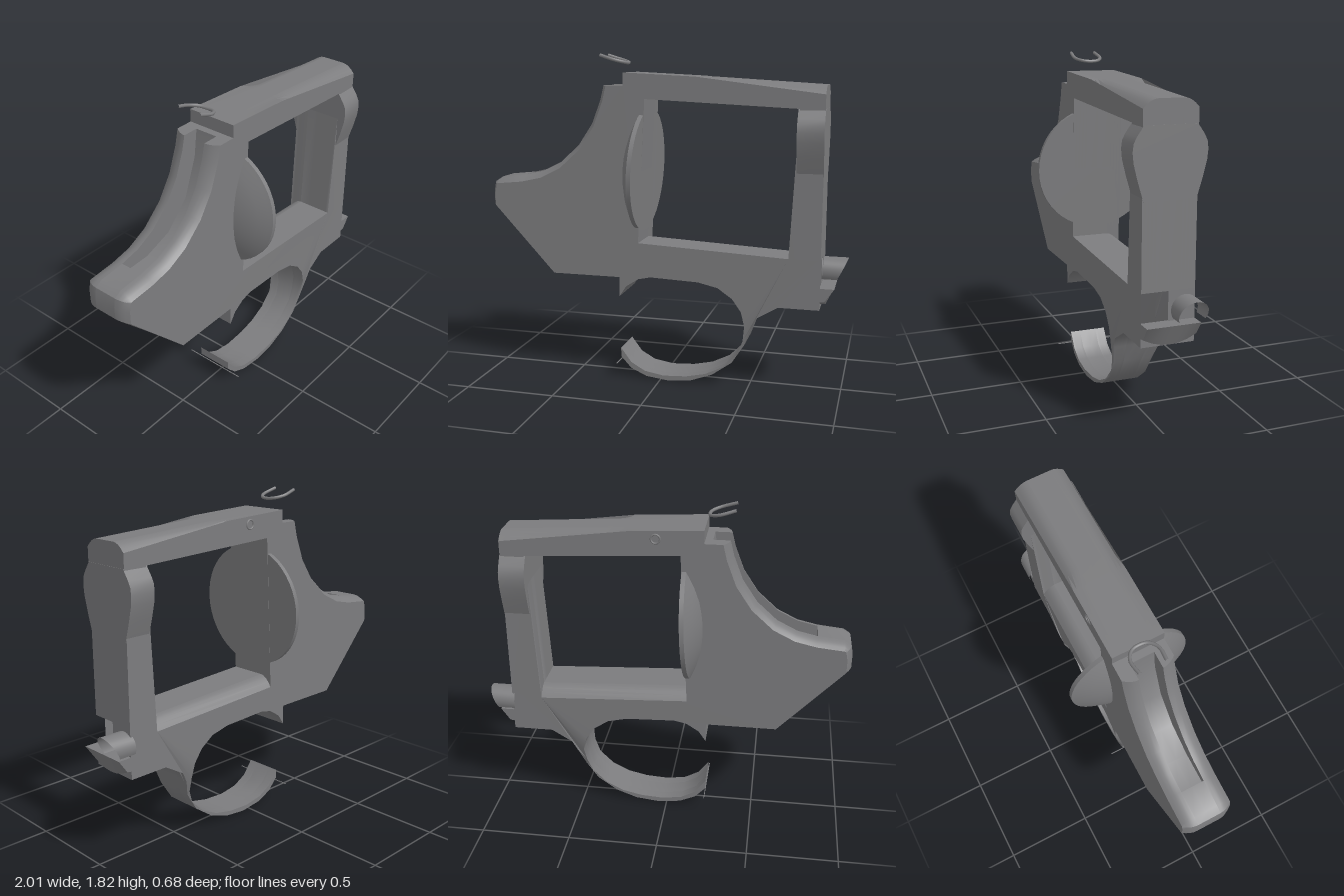
import * as THREE from 'three';
import { toCreasedNormals } from 'three/addons/utils/BufferGeometryUtils.js';

const vecs = (pts) => pts.map(([x, y]) => new THREE.Vector2(x, y));

// Curved rear edge, from the top notch down to the butt
const BACK = [[-0.33, 1.65], [-0.35, 1.57], [-0.40, 1.44], [-0.48, 1.32], [-0.59, 1.22], [-0.70, 1.165],
  [-0.81, 1.14], [-0.95, 1.125], [-0.99, 1.10], [-1, 1.05], [-1, 0.98]];
// The same edge with the hammer slot cut into it
const BACK_SLOT = [[-0.24, 1.65], [-0.26, 1.5], [-0.34, 1.29], [-0.48, 1.15], [-0.64, 1.09], [-0.81, 1.08],
  [-0.81, 1.14], [-0.95, 1.125], [-0.99, 1.10], [-1, 1.05], [-1, 0.98]];
// Finger opening of the guard, from the grip side round to the open tip
const GUARD_INNER = [[-0.23, 0.48], [-0.19, 0.54], [-0.12, 0.585], [-0.05, 0.60], [0.22, 0.59], [0.33, 0.565],
  [0.41, 0.51], [0.46, 0.44], [0.48, 0.36], [0.47, 0.27], [0.44, 0.19], [0.36, 0.11], [0.26, 0.06],
  [0.15, 0.035], [0.02, 0.027], [-0.09, 0.045], [-0.17, 0.09], [-0.23, 0.17]];
const GUARD_OUTER = [[-0.23, 0.12], [-0.17, 0.055], [-0.08, 0.015], [0.05, 0], [0.18, 0.015], [0.30, 0.06],
  [0.41, 0.14], [0.48, 0.25], [0.515, 0.35], [0.545, 0.41], [0.66, 0.48]];
const FRONT = [[0.88, 0.48], [0.88, 0.6], [0.88, 0.75], [0.88, 1.66], [0.30, 1.695], [0.20, 1.70], [-0.20, 1.72], [-0.20, 1.65]];
const WINDOW = [[-0.08, 1.58], [0.75, 1.54], [0.71, 0.75], [-0.12, 0.79]];

// One slice of the frame between z0 and z1, with rounded edges and a narrower guard
function frameSlice(back, z0, z1, steps) {
  const shape = new THREE.Shape(vecs([...back, [-0.62, 0.59], [-0.23, 0.59], ...GUARD_INNER, ...GUARD_OUTER, ...FRONT]));
  shape.holes.push(new THREE.Path(vecs(WINDOW)));
  const geo = new THREE.ExtrudeGeometry(shape, { depth: z1 - z0, steps, bevelEnabled: false });
  geo.translate(0, 0, z0);
  const p = geo.attributes.position;

  // Leave the socket in the front wall open
  const keep = [];
  for (let i = 0; i < p.count; i += 3) {
    const open = [i, i + 1, i + 2].every((k) =>
      p.getX(k) > 0.879 && p.getY(k) > 0.59 && p.getY(k) < 0.76 && p.getZ(k) > -0.001);
    if (open) continue;
    for (let k = i; k < i + 3; k++) keep.push(moved(p.getX(k), p.getY(k), p.getZ(k)));
  }
  const out = new THREE.BufferGeometry().setFromPoints(keep);
  return toCreasedNormals(out, 0.6);
}

function moved(x, y, z) {
  const t = Math.max(0, (Math.abs(z) - 0.065) / 0.075) ** 2;
  let nx = x, ny = y;
  if (x < -0.31 && y > 0.95 && t > 0) {            // rounded rear edge
    const d = x < -0.96 ? new THREE.Vector2(1, -0.4) : new THREE.Vector2(x + 0.85, y - 1.65);
    d.setLength(0.032 * t);
    nx += d.x;
    ny += d.y;
  }
  if (x > 0.25 && y > 1.6) ny -= 0.045 * t;         // crowned top strap
  if (z < 0 && x > -0.13 && x < 0.72 && y > 0.74 && y < 0.8) ny -= 0.06 * t; // rounded lower bar
  const w = THREE.MathUtils.smoothstep(y, 0.2, 0.4); // slim guard
  const nz = z * THREE.MathUtils.lerp(0.75, 1, w) + 0.015 * (1 - w);
  return new THREE.Vector3(nx, ny, nz);
}

// Extrudes a (z, y) profile along x
function alongX(pts, x0, x1) {
  const shape = new THREE.Shape(vecs(pts.map(([z, y]) => [-z, y])));
  const geo = new THREE.ExtrudeGeometry(shape, { depth: x1 - x0, bevelEnabled: false });
  geo.rotateY(Math.PI / 2).translate(x0, 0, 0);
  return toCreasedNormals(geo, 0.6);
}

export function createModel() {
  const model = new THREE.Group();
  const steel = new THREE.MeshStandardMaterial({ color: 0x7c7c7e });
  steel.name = 'gunmetal grey';
  const thinSteel = steel.clone();
  thinSteel.side = THREE.DoubleSide;
  const add = (name, geo, mat = steel) => {
    const mesh = new THREE.Mesh(geo, mat);
    mesh.name = name;
    model.add(mesh);
    return mesh;
  };

  // Frame in three slices, the middle one holding the slot
  add('frameLeftSide', frameSlice(BACK, 0.065, 0.14, 4));
  add('frameMiddle', frameSlice(BACK_SLOT, -0.065, 0.065, 2));
  add('frameRightSide', frameSlice(BACK, -0.14, -0.065, 4));

  // Swelling of the front pillar around the barrel seat
  const half = [[0.135, 1.19], [0.165, 1.29], [0.185, 1.37], [0.19, 1.42], [0.185, 1.46], [0.17, 1.49], [0.135, 1.54]];
  const mirrored = half.map(([z, y]) => [-z, y]).reverse();
  add('barrelSeat', alongX([...half, ...mirrored], 0.742, 0.882));

  // Domed recoil shield with a flat, slightly tilted face
  const dome = [[0, 0.105], [0.1, 0.098], [0.2, 0.075], [0.27, 0.048], [0.32, 0.022], [0.34, 0.012], [0.34, -0.012], [0, -0.012]];
  const shield = new THREE.LatheGeometry(vecs([...dome].reverse()), 48);
  const shieldMesh = add('recoilShield', toCreasedNormals(shield.toNonIndexed(), 0.5));
  shieldMesh.rotation.z = Math.PI / 2 - 0.045;
  shieldMesh.position.set(-0.112, 1.185, 0);

  // Hollow hinge stub and its curved lip at the lower front
  const stub = new THREE.CylinderGeometry(0.075, 0.075, 0.12, 20, 1, true, -0.4, Math.PI * 1.3);
  stub.rotateZ(-Math.PI / 2).rotateX(Math.PI);
  const pos = stub.attributes.position;
  for (let i = 0; i < pos.count; i++) {
    if (pos.getX(i) > 0) pos.setX(i, 0.05 + pos.getY(i) * 0.5);
  }
  stub.translate(0.925, 0.65, -0.09);
  stub.computeVertexNormals();
  add('hingeStub', stub, thinSteel);

  const lip = new THREE.Shape(vecs([[0.87, 0.485], [0.905, 0.49], [0.955, 0.60], [0.87, 0.60]]));
  const lipGeo = new THREE.ExtrudeGeometry(lip, { depth: 0.28, steps: 6, bevelEnabled: false });
  lipGeo.translate(0, 0, -0.14);
  const lp = lipGeo.attributes.position;
  for (let i = 0; i < lp.count; i++) {
    if (lp.getY(i) < 0.55) lp.setY(i, lp.getY(i) + 2 * lp.getZ(i) ** 2);
  }
  add('hingeLip', toCreasedNormals(lipGeo, 0.6));

  // Small bent spring above the rear notch
  const bend = [[-0.355, 1.812, 0.062], [-0.27, 1.786, 0.066], [-0.225, 1.774, 0.035], [-0.215, 1.77, -0.008],
    [-0.225, 1.774, -0.051], [-0.27, 1.786, -0.082], [-0.355, 1.812, -0.078]];
  const path = new THREE.CatmullRomCurve3(bend.map((b) => new THREE.Vector3(...b)));
  add('rearSpring', new THREE.TubeGeometry(path, 28, 0.009, 8));

  // Screw ring on the top strap and the fine pin through the guard tip
  add('strapScrew', new THREE.TorusGeometry(0.024, 0.005, 6, 16)).position.set(0.05, 1.665, -0.14);
  add('guardPin', new THREE.BoxGeometry(0.004, 0.004, 0.37)).position.set(-0.23, 0.105, 0.015);

  return model;
}
